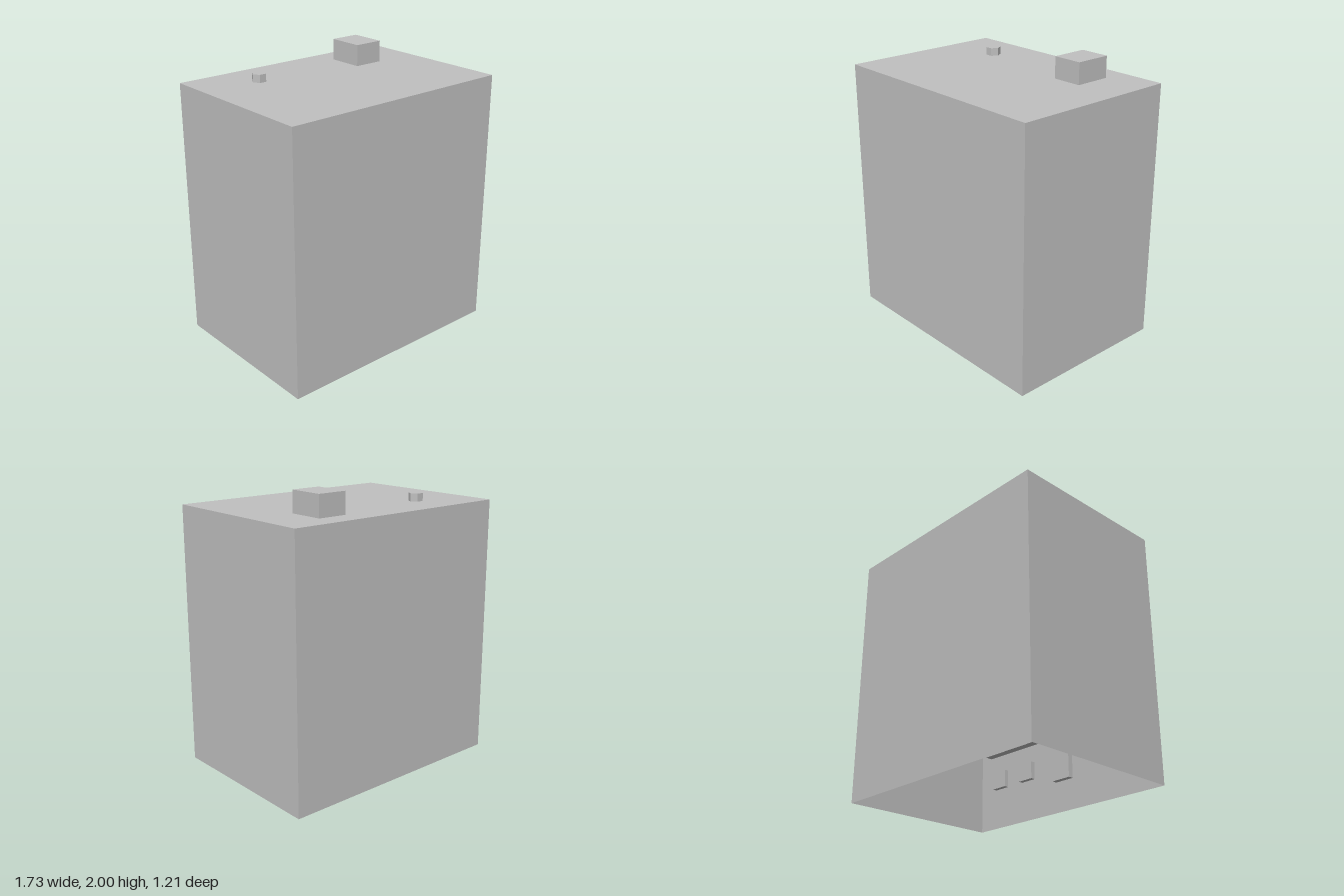
import * as THREE from 'three';

const WIDTH = 1.73, HEIGHT = 1.85, DEPTH = 1.21;

export function createModel() {
  const model = new THREE.Group();
  model.name = 'building';
  const grey = new THREE.MeshStandardMaterial({ color: 0xc0c0c0, side: THREE.DoubleSide });
  grey.name = 'plain grey';

  function add(name, geometry, x, y, z) {
    const mesh = new THREE.Mesh(geometry, grey);
    mesh.name = name;
    mesh.position.set(x, y, z);
    model.add(mesh);
    return mesh;
  }

  // Thin-walled shell with an open underside: drop the box's bottom face
  const shell = new THREE.BoxGeometry(WIDTH, HEIGHT, DEPTH);
  const index = Array.from(shell.index.array);
  index.splice(18, 6);
  shell.setIndex(index);
  shell.clearGroups();
  add('shell', shell, 0, HEIGHT / 2, 0);

  // Roof fittings
  add('roofUnit', new THREE.BoxGeometry(0.215, 0.15, 0.26), 0.432, HEIGHT + 0.075, -0.305);
  const vent = new THREE.CylinderGeometry(0.051, 0.051, 0.055, 6).toNonIndexed();
  vent.computeVertexNormals();
  add('roofVent', vent, -0.435, HEIGHT + 0.0275, -0.305).rotation.y = Math.PI / 2;

  // Raised panels on the inner face of the front wall
  function wallPanel(name, x, bottom, width, height, depth) {
    add(name, new THREE.BoxGeometry(width, height, depth), x, bottom + height / 2, DEPTH / 2 - 0.001 - depth / 2);
  }
  wallPanel('door', -0.005, 0.225, 0.16, 0.22, 0.04);
  wallPanel('canopy', 0, 0.565, 1.52, 0.125, 0.06);
  for (const side of [-1, 1]) {
    wallPanel('innerWindow', side * 0.357, 0.3, 0.13, 0.13, 0.035);
    wallPanel('outerWindow', side * 0.64, 0.3, 0.13, 0.13, 0.035);
    wallPanel('upperPanel', side * 0.362, 0.82, 0.55, 0.35, 0.06);
  }
  return model;
}
